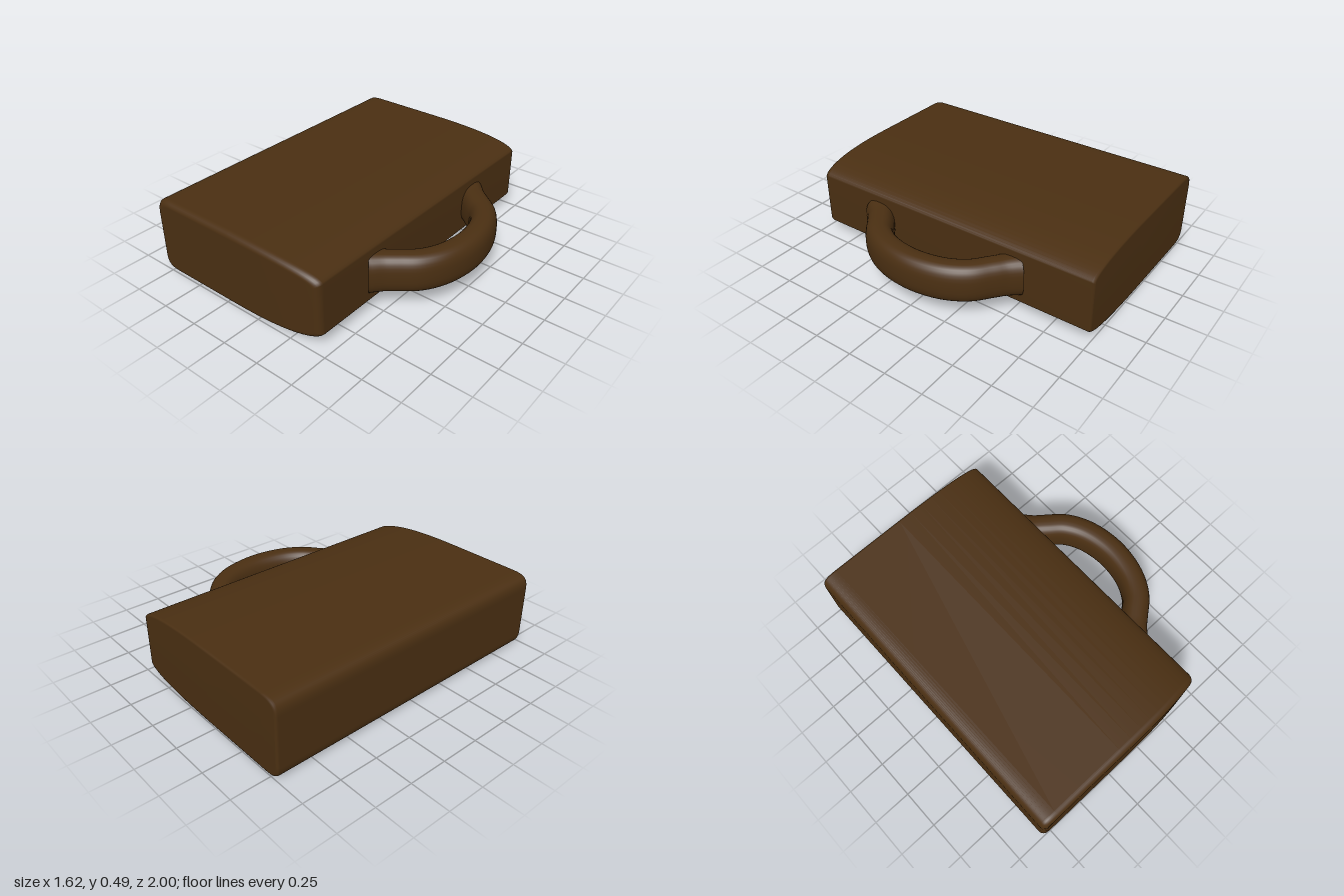
import * as THREE from 'three';

// Skin a list of closed rings (arrays of Vector3 with equal counts)
function loft(rings) {
  const n = rings[0].length;
  const index = [];
  for (let i = 0; i < rings.length - 1; i++) {
    for (let j = 0; j < n; j++) {
      const k = (j + 1) % n;
      const a = i * n + j, b = i * n + k, c = (i + 1) * n + k, d = (i + 1) * n + j;
      index.push(a, b, c, a, c, d);
    }
  }
  const geometry = new THREE.BufferGeometry().setFromPoints(rings.flat());
  geometry.setIndex(index);
  geometry.computeVertexNormals();
  return geometry;
}

// Body: rounded section, tapering towards the handle side
function bodyGeometry() {
  const shape = new THREE.Shape();
  shape.moveTo(0.44, 0.09);
  shape.lineTo(0.44, 0.41);
  shape.bezierCurveTo(0.43, 0.455, 0.25, 0.497, -0.2, 0.497);
  shape.lineTo(-0.7, 0.497);
  shape.bezierCurveTo(-0.78, 0.497, -0.81, 0.48, -0.81, 0.41);
  shape.lineTo(-0.81, 0.09);
  shape.bezierCurveTo(-0.81, 0.02, -0.78, 0.003, -0.7, 0.003);
  shape.lineTo(-0.2, 0.003);
  shape.bezierCurveTo(0.25, 0.003, 0.43, 0.045, 0.44, 0.09);
  const profile = shape.getPoints(14);
  if (profile[0].distanceTo(profile[profile.length - 1]) < 1e-6) profile.pop();

  const cx = -0.185, cy = 0.25;
  const ring = (z, inset, flat = 1) => profile.map((p) => {
    const x = cx + (p.x - cx) * (1 - inset / 0.625);
    const y = cy + (p.y - cy) * (1 - inset / 0.25) * flat;
    // the front face falls back towards the handle side
    const t = Math.max(0, (x + 0.2) / 0.64);
    return new THREE.Vector3(x, y, z > 0.8 ? z - 0.035 * t ** 3 : z);
  });
  const rings = [ring(-1, 0.015, 0), ring(-1, 0.015), ring(-0.996, 0.004), ring(-0.985, 0)];
  for (let i = 0; i <= 6; i++) {
    const a = (i / 6) * Math.PI / 2;
    rings.push(ring(0.96 + 0.04 * Math.sin(a), 0.035 * (1 - Math.cos(a))));
  }
  rings.push(ring(1, 0.035, 0));
  return loft(rings);
}

// Handle: rounded, tall section swept along a bow in the horizontal plane
function handleGeometry() {
  const half = [[0.4, 0.513], [0.44, 0.48], [0.53, 0.408], [0.62, 0.33], [0.692, 0.2]];
  const points = [
    ...half,
    [0.725, 0],
    ...half.map(([x, z]) => [x, -z]).reverse(),
  ].map(([x, z]) => new THREE.Vector3(x, 0.25, z));
  const path = new THREE.CatmullRomCurve3(points, false, 'centripetal');
  const up = new THREE.Vector3(0, 1, 0);
  const soft = (v) => Math.sign(v) * Math.abs(v) ** 0.76;
  const rings = [];
  const steps = 64;
  for (let i = 0; i <= steps; i++) {
    const centre = path.getPointAt(i / steps);
    const side = up.clone().cross(path.getTangentAt(i / steps)).normalize();
    // slight flare where the handle meets the body
    const flare = 0.015 * Math.max(0, 1 - (centre.x - 0.4) / 0.07);
    const ring = [];
    for (let j = 0; j < 32; j++) {
      const a = (j / 32) * Math.PI * 2;
      ring.push(centre.clone()
        .addScaledVector(side, (0.084 + flare) * soft(Math.cos(a)))
        .addScaledVector(up, (0.122 + flare * 0.4) * soft(Math.sin(a))));
    }
    rings.push(ring);
  }
  return loft(rings);
}

export function createModel() {
  const group = new THREE.Group();
  group.name = 'case';
  const material = new THREE.MeshStandardMaterial({ color: 0x4a2f12 });
  const add = (name, geometry) => {
    const mesh = new THREE.Mesh(geometry, material);
    mesh.name = name;
    group.add(mesh);
  };
  add('body', bodyGeometry());
  add('handle', handleGeometry());
  return group;
}
